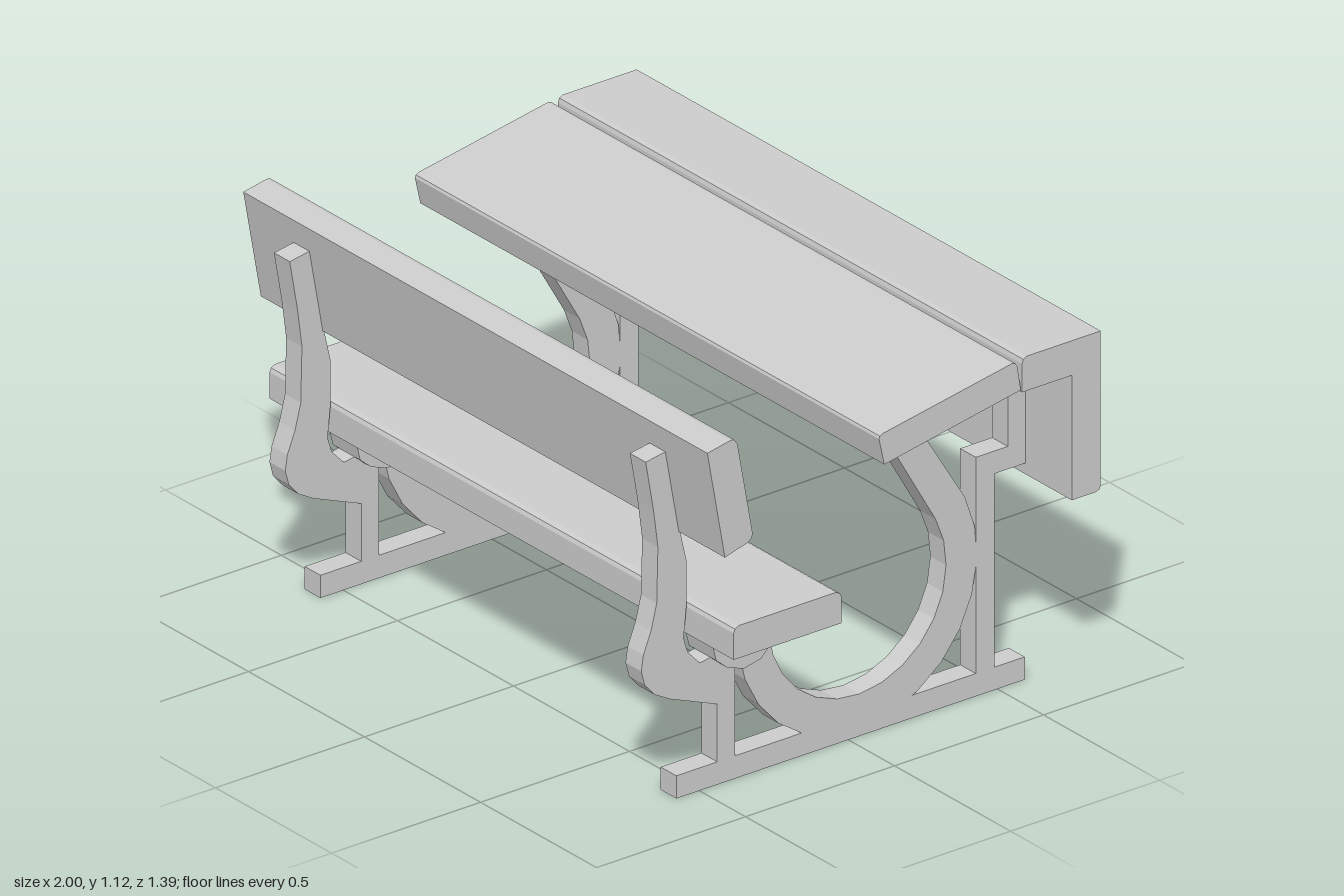
import * as THREE from 'three';

const material = new THREE.MeshStandardMaterial({ color: 0xcccccc, flatShading: true });

// Side profile of [z, y] points, extruded along x and centred on the given x
function profile(name, points, width, x = 0) {
  const shape = new THREE.Shape(points.map(([z, y]) => new THREE.Vector2(z, y)));
  const geometry = new THREE.ExtrudeGeometry(shape, { depth: width, bevelEnabled: false });
  geometry.translate(0, 0, -width / 2);
  geometry.rotateY(-Math.PI / 2);
  const mesh = new THREE.Mesh(geometry, material);
  mesh.name = name;
  mesh.position.x = x;
  return mesh;
}

// Points on an arc of the curved support, angles in degrees
function arc(radius, from, to, steps) {
  return Array.from({ length: steps + 1 }, (_, i) => {
    const a = THREE.MathUtils.degToRad(from + (to - from) * i / steps);
    return [-0.03 + radius * Math.cos(a), 0.422 + radius * Math.sin(a)];
  });
}

const boards = {
  backrest: [[0.628, 1.109], [0.55, 1.124], [0.538, 1.122], [0.527, 1.107],
    [0.476, 0.828], [0.479, 0.816], [0.49, 0.806], [0.569, 0.784]],
  seat: [[0.54, 0.474], [0.54, 0.552], [0.535, 0.563], [0.522, 0.57],
    [0.196, 0.57], [0.183, 0.563], [0.178, 0.552], [0.178, 0.474]],
  deskTop: [[0.03, 0.895], [0.021, 0.898], [0.034, 0.898], [0.052, 0.978], [0.049, 0.986], [0.04, 0.991],
    [-0.395, 1.067], [-0.405, 1.064], [-0.412, 1.053], [-0.424, 0.98]],
  shelfAndFrontPanel: [[-0.428, 0.972], [-0.428, 1.056], [-0.432, 1.068], [-0.443, 1.074],
    [-0.692, 1.074], [-0.692, 0.618], [-0.688, 0.609], [-0.677, 0.604],
    [-0.595, 0.604], [-0.595, 0.972]],
};
boards.deskTop.splice(0, 2);

const frame = {
  foot: [[0.577, 0], [0.577, 0.067], [-0.592, 0.067], [-0.592, 0]],
  // Short post sweeping up into the backrest arm
  backrestArm: [[0.44, 0.06], [0.44, 0.237], [0.6, 0.3], [0.65, 0.328], [0.683, 0.365],
    [0.695, 0.41], [0.688, 0.455], [0.662, 0.52], [0.643, 0.595], [0.639, 0.76],
    [0.654, 0.874], [0.68, 1.022], [0.613, 1.033], [0.565, 0.785], [0.543, 0.69],
    [0.543, 0.56], [0.553, 0.465], [0.539, 0.42], [0.498, 0.376], [0.446, 0.385],
    [0.38, 0.385], [0.38, 0.06]],
  // Rear post stepping out to the shelf
  shelfBracket: [[-0.428, 0.06], [-0.428, 0.704], [-0.535, 0.704], [-0.535, 0.972],
    [-0.595, 0.972], [-0.595, 0.637], [-0.49, 0.637], [-0.49, 0.06]],
  // Half ring from the seat, under and up to the desk
  curvedSupport: [...arc(0.402, -6, -206, 14), [-0.205, 0.9], [-0.12, 0.86], ...arc(0.298, -208, -4, 14)],
};

const cleats = {
  seatCleat: [[0.476, 0.474], [0.476, 0.435], [0.463, 0.382], [0.427, 0.351], [0.37, 0.33],
    [0.312, 0.343], [0.268, 0.386], [0.25, 0.44], [0.245, 0.474]],
  deskCleat: [[-0.063, 0.912], [-0.085, 0.864], [-0.134, 0.834], [-0.186, 0.838],
    [-0.223, 0.882], [-0.227, 0.942]],
};

export function createModel() {
  const model = new THREE.Group();
  model.name = 'schoolDesk';

  // Full-width boards
  for (const [name, points] of Object.entries(boards)) model.add(profile(name, points, 2));

  // Matching side frames
  for (const side of [1, -1]) {
    const group = new THREE.Group();
    group.name = side > 0 ? 'leftFrame' : 'rightFrame';
    for (const [name, points] of Object.entries(frame)) group.add(profile(name, points, 0.068));
    for (const [name, points] of Object.entries(cleats)) group.add(profile(name, points, 0.118));
    group.position.x = side * 0.767;
    model.add(group);
  }
  return model;
}
